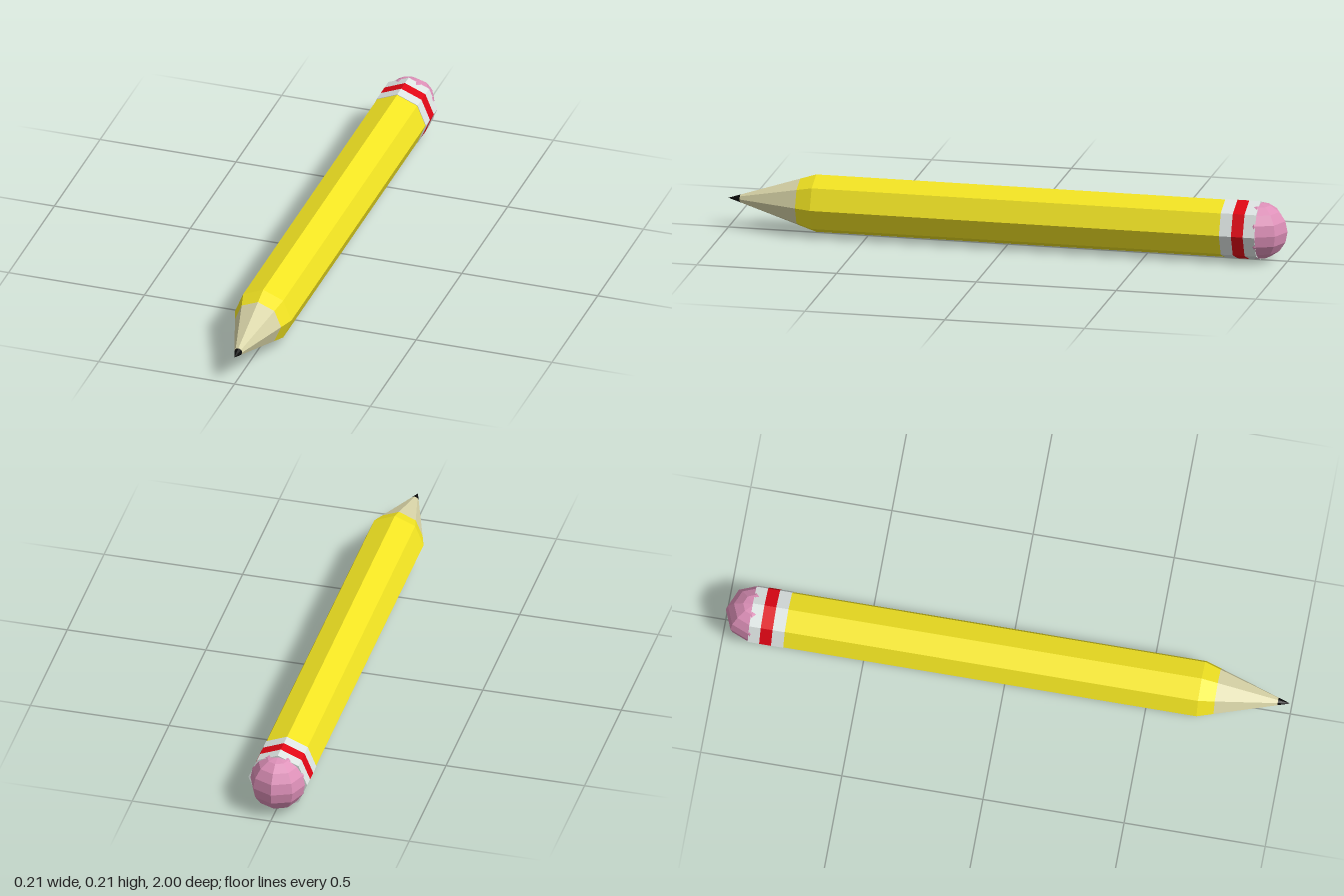
import * as THREE from 'three';

const SIDES = 8;
const R = 0.104;        // painted shaft radius
const RF = 0.106;       // ferrule radius, also the height of the axis
const SHOULDER = 0.686; // where the sharpened cone begins

const material = (color) => new THREE.MeshStandardMaterial({ color, flatShading: true });
const yellow = material(0xf2e422);
const silver = material(0xdde4e2);
const red = material(0xe00514);
const wood = material(0xd9d5a8);
const black = material(0x0a0a0a);
const pink = material(0xdd90b8);

// Octagonal section along z from [radius, z] points, ordered back to front
function section(name, mat, profile) {
  const points = profile.map(([r, z]) => new THREE.Vector2(r, z));
  const geometry = new THREE.LatheGeometry(points, SIDES).rotateX(Math.PI / 2).toNonIndexed();
  geometry.computeVertexNormals();
  const mesh = new THREE.Mesh(geometry, mat);
  mesh.name = name;
  mesh.position.y = RF;
  return mesh;
}

export function createModel() {
  const group = new THREE.Group();
  group.name = 'pencil';

  // Point on the sharpened cone at a given z
  const cone = (z) => [R * (1 - z) / (1 - SHOULDER), z];
  const woodStart = cone(0.743);
  const leadStart = cone(0.957);

  group.add(
    section('shaft', yellow, [[R, -0.778], [R, SHOULDER], woodStart]),
    section('sharpenedWood', wood, [woodStart, leadStart]),
    section('leadTip', black, [leadStart, [0, 1]]),
    // Ferrule: two metal bands around a red stripe, closed at the back
    section('ferruleFront', silver, [[RF, -0.821], [RF, -0.778], [R, -0.778]]),
    section('ferruleStripe', red, [[RF, -0.863], [RF, -0.821]]),
    section('ferruleBack', silver, [[0, -0.904], [RF, -0.904], [RF, -0.863]])
  );

  // Rounded eraser set into the ferrule
  const eraser = new THREE.Mesh(new THREE.SphereGeometry(0.1, SIDES, SIDES), pink);
  eraser.name = 'eraser';
  eraser.position.set(0, RF, -0.9);
  group.add(eraser);

  return group;
}
